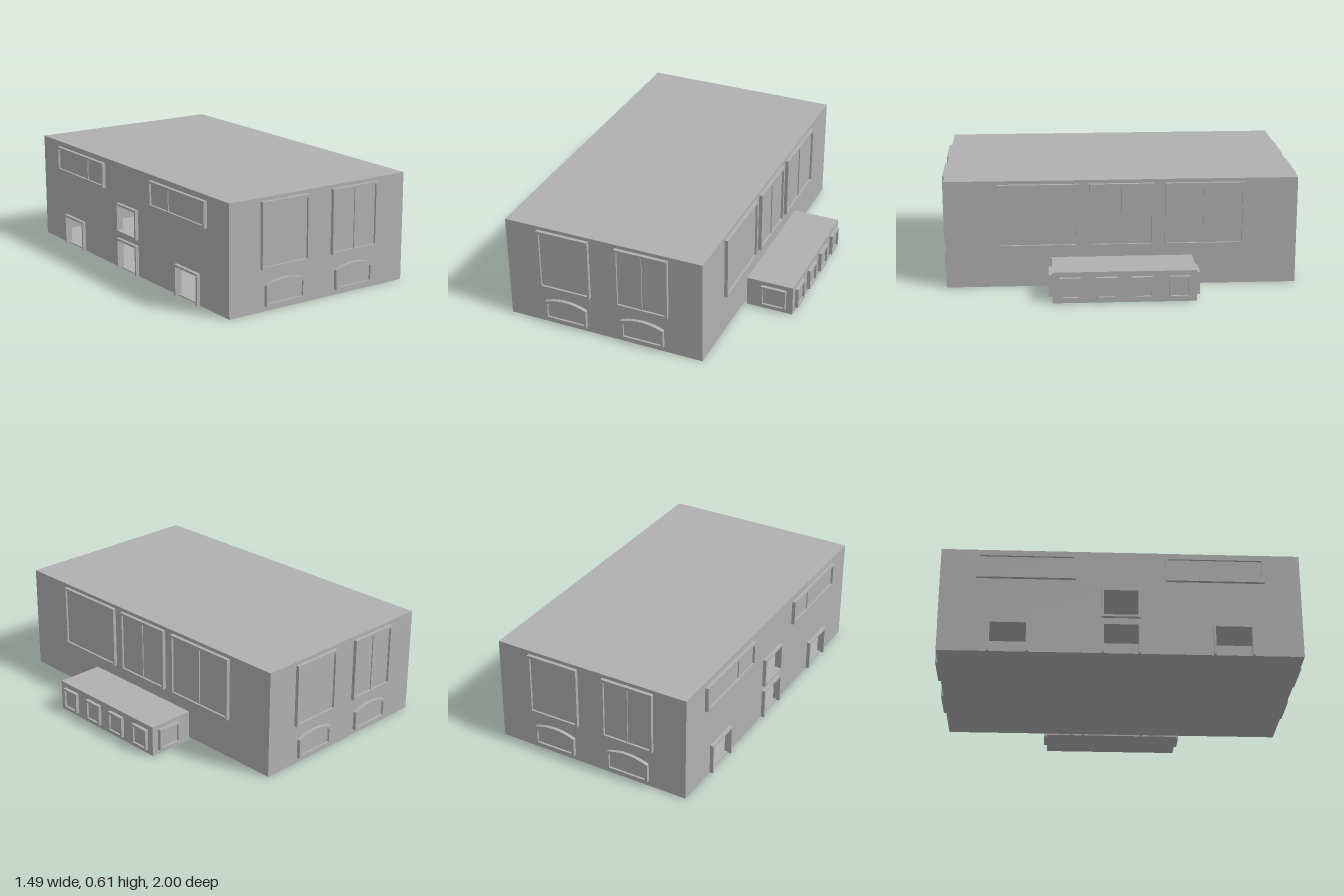
import * as THREE from 'three';

const W = 1.155, D = 1.96, H = 0.61; // hall size
const SLAB = 0.006, WALL = 0.02, FRAME = 0.02, CX = -0.1475;
const grey = new THREE.MeshStandardMaterial({ color: 0xb0b0b0 });
grey.name = 'plain grey';

function mesh(parent, name, geometry, x = 0, y = 0, z = 0) {
  const m = new THREE.Mesh(geometry, grey);
  m.name = name;
  m.position.set(x, y, z);
  parent.add(m);
  return m;
}

function box(parent, name, x0, x1, y0, y1, z0, z1) {
  return mesh(parent, name, new THREE.BoxGeometry(x1 - x0, y1 - y0, z1 - z0),
    (x0 + x1) / 2, (y0 + y1) / 2, (z0 + z1) / 2);
}

// Rectangle, optionally with a bowed top edge
function trace(path, x0, x1, y0, y1, rise = 0) {
  path.moveTo(x0, y0);
  path.lineTo(x1, y0);
  path.lineTo(x1, y1);
  if (rise) path.quadraticCurveTo((x0 + x1) / 2, y1 + 2 * rise, x0, y1);
  else path.lineTo(x0, y1);
  path.closePath();
  return path;
}

const extrude = (shape, depth) =>
  new THREE.ExtrudeGeometry(shape, { depth, bevelEnabled: false, curveSegments: 10 });

// Raised frame on a wall whose outer face is local z = 0
function frame(parent, name, x0, x1, y0, y1, b, rise = 0) {
  const s = trace(new THREE.Shape(), x0, x1, y0, y1, rise);
  s.holes.push(trace(new THREE.Path(), x0 + b, x1 - b, y0 + b, y1 - b, rise));
  mesh(parent, name, extrude(s, FRAME));
}

// Framed glazing with an optional mullion at local x = bar
function windowUnit(parent, name, x0, x1, y0, y1, { b = 0.014, bar = null, rise = 0 } = {}) {
  const g = new THREE.Group();
  g.name = name;
  parent.add(g);
  frame(g, 'windowFrame', x0, x1, y0, y1, b, rise);
  const pane = trace(new THREE.Shape(), x0 + b, x1 - b, y0 + b, y1 - b, rise);
  mesh(g, 'windowPane', extrude(pane, 0.008));
  if (bar !== null) box(g, 'mullion', bar - 0.004, bar + 0.004, y0 + b, y1 - b, 0.008, 0.014);
}

// Two posts and a lintel around an open doorway
function doorFrame(parent, cx, w, h, b = 0.012) {
  const x0 = cx - w / 2, x1 = cx + w / 2;
  const s = new THREE.Shape([[x0, 0], [x0 + b, 0], [x0 + b, h - b], [x1 - b, h - b],
    [x1 - b, 0], [x1, 0], [x1, h], [x0, h]].map((p) => new THREE.Vector2(...p)));
  mesh(parent, 'doorFrame', extrude(s, FRAME));
}

// Wall with doorways cut from its bottom edge (sorted by x) and square openings
function wall(parent, name, length, doors = [], openings = []) {
  const s = new THREE.Shape();
  s.moveTo(-length / 2, SLAB);
  for (const [cx, w, h] of doors) {
    const r = w / 2 - 0.012;
    s.lineTo(cx - r, SLAB);
    s.lineTo(cx - r, h - 0.012);
    s.lineTo(cx + r, h - 0.012);
    s.lineTo(cx + r, SLAB);
  }
  s.lineTo(length / 2, SLAB);
  s.lineTo(length / 2, H - SLAB);
  s.lineTo(-length / 2, H - SLAB);
  s.closePath();
  for (const o of openings) s.holes.push(trace(new THREE.Path(), ...o));
  mesh(parent, name, extrude(s, WALL), 0, 0, -WALL);
  for (const d of doors) doorFrame(parent, ...d);
}

// Group whose local +z points out of one side
function side(parent, name, x, z, turn) {
  const g = new THREE.Group();
  g.name = name;
  g.position.set(x, 0, z);
  g.rotation.y = turn;
  parent.add(g);
  return g;
}

export function createModel() {
  const model = new THREE.Group();
  model.name = 'hall';

  // Floor and roof
  const hx0 = CX - W / 2, hx1 = CX + W / 2;
  box(model, 'floor', hx0, hx1, 0, SLAB, -D / 2, D / 2);
  box(model, 'roof', hx0, hx1, H - SLAB, H, -D / 2, D / 2);

  // Front and back: tall windows over arched ones
  for (const dir of [1, -1]) {
    const g = side(model, dir > 0 ? 'frontSide' : 'backSide', 0, dir * D / 2, dir > 0 ? 0 : Math.PI);
    const s = new THREE.Group();
    s.position.x = dir * CX;
    g.add(s);
    wall(s, 'endWall', W);
    for (const x of [-0.378, 0.082]) {
      const c = x * dir;
      const split = dir > 0 ? x > 0 : x < 0;
      windowUnit(g, 'tallWindow', c - 0.153, c + 0.153, 0.23, 0.59, { bar: split ? c : null });
      windowUnit(g, 'archedWindow', c - 0.125, c + 0.125, 0.03, 0.142, { rise: 0.025 });
    }
  }

  // Left side: three large windows over two doorways
  const left = side(model, 'leftSide', hx1, 0, Math.PI / 2);
  wall(left, 'leftWall', D - 2 * WALL, [[-0.21, 0.08, 0.125], [0.21, 0.08, 0.125]]);
  windowUnit(left, 'largeWindow', -0.685, -0.24, 0.23, 0.59);
  windowUnit(left, 'largeWindow', -0.18, 0.18, 0.23, 0.59, { bar: 0 });
  windowUnit(left, 'largeWindow', 0.24, 0.685, 0.23, 0.59, { bar: 0.46 });

  // Right side: three doorways, an upper opening and two wide windows
  const right = side(model, 'rightSide', hx0, 0, -Math.PI / 2);
  wall(right, 'rightWall', D - 2 * WALL,
    [[-0.605, 0.22, 0.175], [0, 0.21, 0.175], [0.605, 0.22, 0.175]],
    [[-0.093, 0.093, 0.222, 0.368]]);
  frame(right, 'upperOpeningFrame', -0.105, 0.105, 0.21, 0.38, 0.012);
  windowUnit(right, 'wideWindow', -0.783, -0.245, 0.435, 0.58, { bar: -0.43 });
  windowUnit(right, 'wideWindow', 0.245, 0.783, 0.435, 0.58, { bar: 0.43 });

  // Low annex with windows on its three free sides
  box(model, 'annex', 0.45, 0.722, 0, 0.175, -0.392, 0.392);
  const annexSide = side(model, 'annexLongSide', 0.722, 0, Math.PI / 2);
  for (const c of [-0.297, -0.097, 0.097, 0.297])
    windowUnit(annexSide, 'annexWindow', c - 0.057, c + 0.057, 0.025, 0.147, { b: 0.012 });
  for (const dir of [1, -1]) {
    const end = side(model, 'annexEnd', 0.61, dir * 0.392, dir > 0 ? 0 : Math.PI);
    windowUnit(end, 'annexEndWindow', -0.073, 0.073, 0.025, 0.15, { b: 0.012 });
  }
  return model;
}
